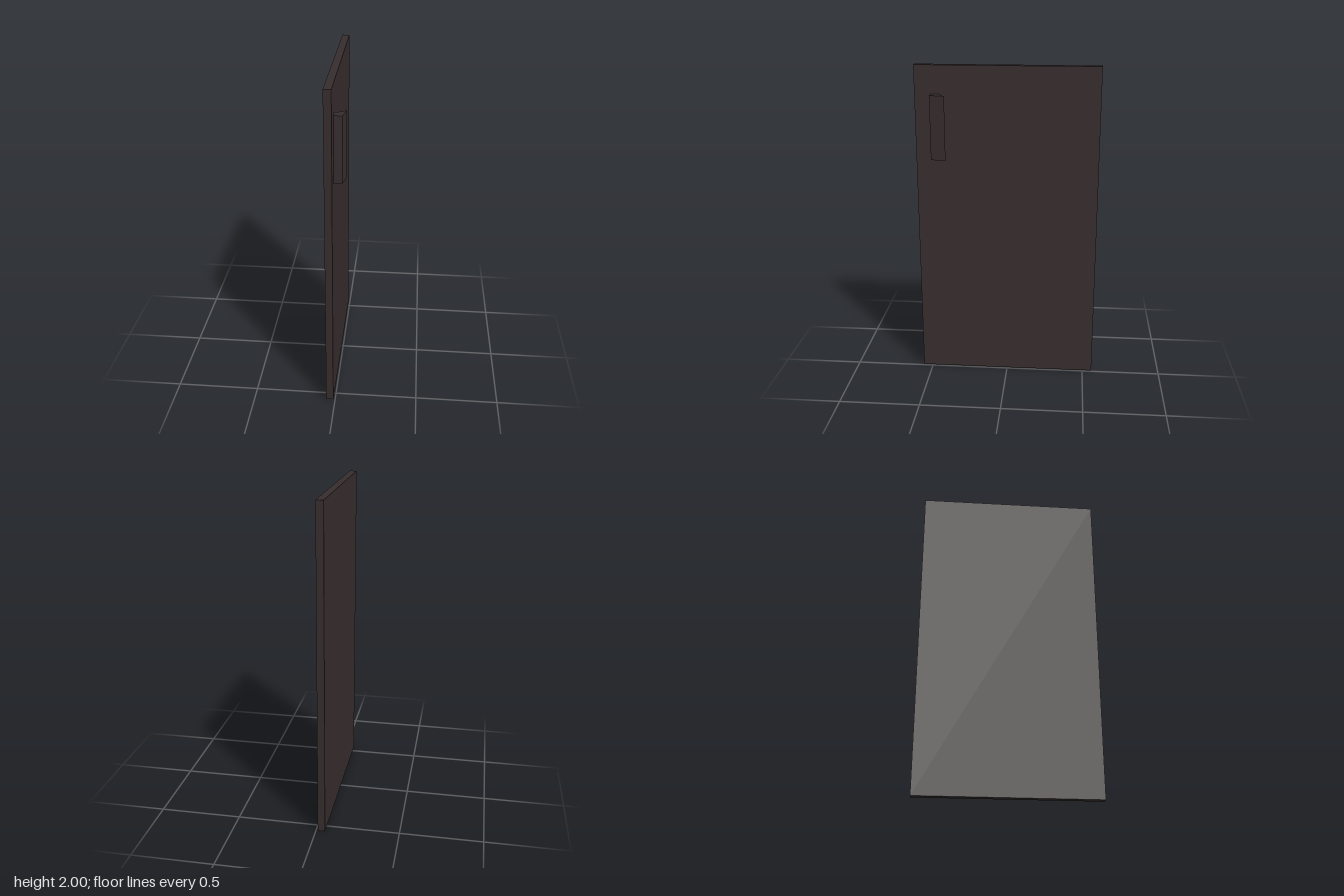
import * as THREE from 'three';

export function createModel() {
  const group = new THREE.Group();
  const darkBrown = new THREE.MeshStandardMaterial({ color: 0x372d2e });
  darkBrown.name = 'darkBrown';

  // Flat door panel
  const panel = new THREE.Mesh(new THREE.BoxGeometry(0.044, 2, 1.12), darkBrown);
  panel.name = 'doorPanel';
  panel.position.set(-0.033, 1, 0);
  group.add(panel);

  // Angled grip: an x/z profile extruded upwards
  const profile = [[-0.012, 0.462], [0.038, 0.462], [0.054, 0.37], [0.021, 0.397], [-0.012, 0.407]];
  const shape = new THREE.Shape(profile.map(([x, z]) => new THREE.Vector2(x, -z)));
  const gripGeometry = new THREE.ExtrudeGeometry(shape, { depth: 0.394, bevelEnabled: false });
  gripGeometry.rotateX(-Math.PI / 2);
  const grip = new THREE.Mesh(gripGeometry, darkBrown);
  grip.name = 'handle';
  grip.position.y = 1.432;
  group.add(grip);

  return group;
}
